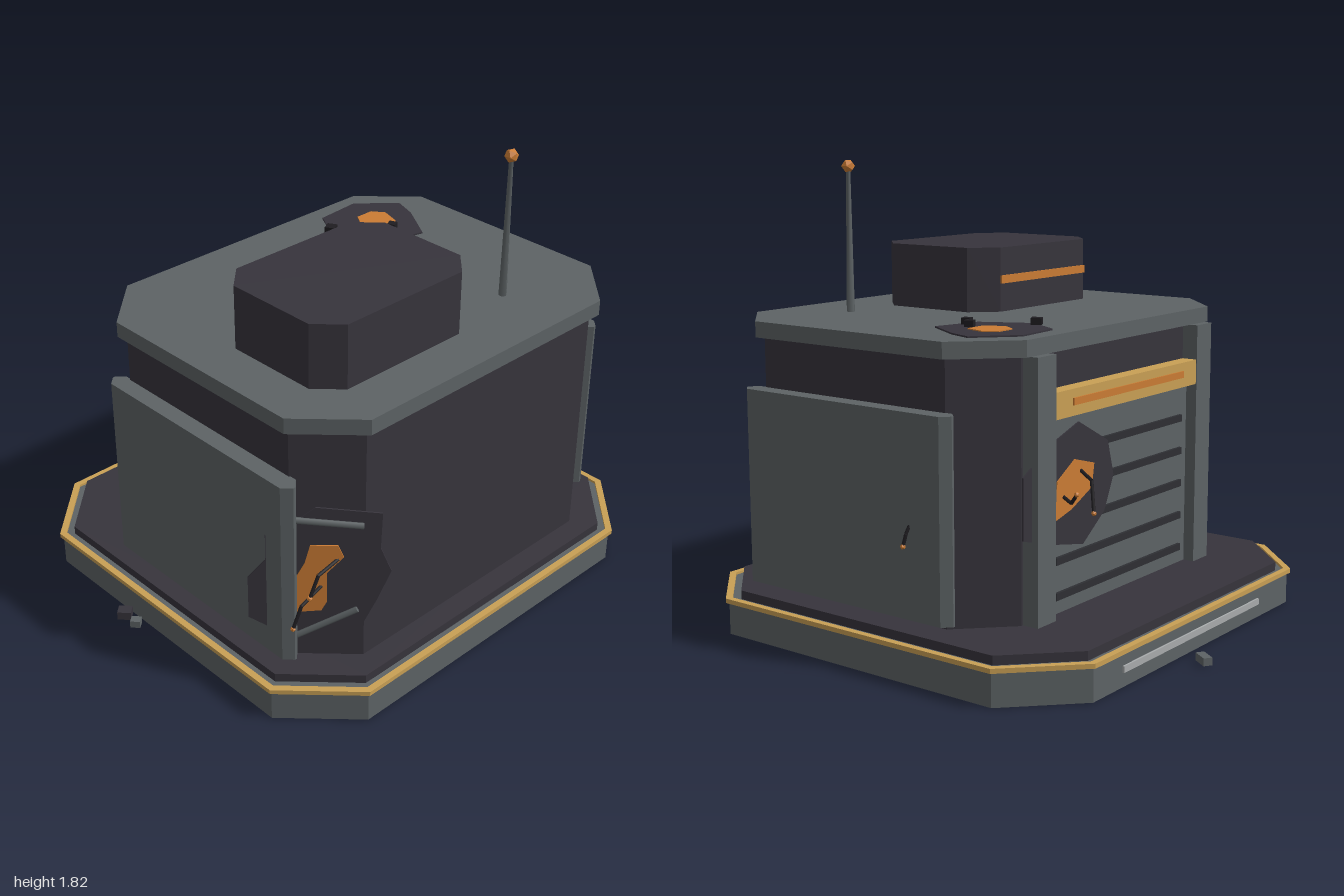
import * as THREE from 'three';

const paint = (name, color, side = THREE.FrontSide) => {
  const m = new THREE.MeshStandardMaterial({ color, side });
  m.name = name;
  return m;
};

export function createModel() {
  const steel = paint('steel grey', 0x5d6365);
  const dark = paint('charcoal', 0x37343c);
  const gold = paint('gold trim', 0xc9a055);
  const orange = paint('glowing orange', 0xcb7c34);
  const pale = paint('pale strip', 0xa9acad);
  const black = paint('wire black', 0x1f1d21);
  const slatGrey = paint('slat grey', 0x2e2f33);

  const model = new THREE.Group();
  model.name = 'bunker';

  const add = (parent, name, geo, mat, x = 0, y = 0, z = 0) => {
    const mesh = new THREE.Mesh(geo, mat);
    mesh.name = name;
    mesh.position.set(x, y, z);
    parent.add(mesh);
    return mesh;
  };
  const box = (name, mat, x0, x1, y0, y1, z0, z1) =>
    add(model, name, new THREE.BoxGeometry(x1 - x0, y1 - y0, z1 - z0), mat,
      (x0 + x1) / 2, (y0 + y1) / 2, (z0 + z1) / 2);

  // Plan outline with cut corners; shape y is -z
  const outline = (x0, x1, z0, z1, c) => [
    [x0 + c, -z1], [x1 - c, -z1], [x1, -z1 + c], [x1, -z0 - c],
    [x1 - c, -z0], [x0 + c, -z0], [x0, -z0 - c], [x0, -z1 + c],
  ].map(([x, y]) => new THREE.Vector2(x, y));
  const prism = (name, mat, [x0, x1], [y0, y1], [z0, z1], c, rim = 0) => {
    const shape = new THREE.Shape(outline(x0, x1, z0, z1, c));
    if (rim) shape.holes.push(new THREE.Path(outline(x0 + rim, x1 - rim, z0 + rim, z1 - rim, c - rim * 0.58)));
    const geo = new THREE.ExtrudeGeometry(shape, { depth: y1 - y0, bevelEnabled: false });
    geo.rotateX(-Math.PI / 2);
    return add(model, name, geo, mat, 0, y0, 0);
  };

  // Stepped base with gold rim
  prism('base', steel, [-0.93, 0.98], [0, 0.135], [-0.83, 0.96], 0.25);
  prism('baseRim', gold, [-0.943, 0.993], [0.127, 0.145], [-0.843, 0.973], 0.257, 0.026);
  prism('deck', dark, [-0.89, 0.94], [0.135, 0.17], [-0.79, 0.92], 0.235);
  box('baseStrip', pale, -0.43, 0.55, 0.055, 0.08, -0.838, -0.829);

  // Main block, roof and roof housing
  prism('body', dark, [-0.77, 0.82], [0.17, 1.155], [-0.445, 0.83], 0.19);
  prism('roof', steel, [-0.803, 0.853], [1.155, 1.217], [-0.48, 0.865], 0.21);
  prism('roofHousing', dark, [-0.61, 0.153], [1.217, 1.473], [0.09, 0.668], 0.095);
  box('housingStrip', orange, -0.515, 0.058, 1.33, 1.362, 0.082, 0.091);

  // Side armour panels
  prism('rightPanel', steel, [-0.84, -0.765], [0.2, 0.96], [-0.315, 0.705], 0.033);
  prism('leftPanel', steel, [0.815, 0.89], [0.2, 0.96], [-0.315, 0.705], 0.033);

  // Rear shutter between posts
  box('rightPost', steel, -0.57, -0.46, 0.17, 1.155, -0.512, -0.43);
  box('leftPost', steel, 0.51, 0.62, 0.17, 1.155, -0.512, -0.43);
  box('shutter', steel, -0.46, 0.51, 0.17, 0.93, -0.465, -0.43);
  for (let i = 0; i < 5; i++) {
    const y = 0.225 + i * 0.135;
    box('shutterSlat', slatGrey, -0.41, 0.46, y, y + 0.028, -0.478, -0.46);
  }
  box('lintel', gold, -0.46, 0.51, 0.915, 1.015, -0.509, -0.43);
  box('lintelLight', orange, -0.355, 0.405, 0.955, 0.982, -0.516, -0.508);

  // Antenna
  const rod = add(model, 'antennaRod', new THREE.CylinderGeometry(0.009, 0.017, 0.56, 6), steel, 0.41, 1.495, 0.575);
  rod.geometry.computeVertexNormals();
  const tip = new THREE.IcosahedronGeometry(0.028, 0);
  add(model, 'antennaTip', tip, orange, 0.41, 1.793, 0.575);

  // Damage: thin ragged plates and bent wires
  const patch = (parent, name, mat, points, z) => {
    const shape = new THREE.Shape(points.map(([x, y]) => new THREE.Vector2(x, y)));
    return add(parent, name, new THREE.ExtrudeGeometry(shape, { depth: 0.006, bevelEnabled: false }), mat, 0, 0, z);
  };
  const segment = (parent, name, mat, a, b, r) => {
    const d = b.clone().sub(a);
    const mesh = add(parent, name, new THREE.CylinderGeometry(r, r, d.length(), 5), mat);
    mesh.position.copy(a).addScaledVector(d, 0.5);
    mesh.quaternion.setFromUnitVectors(new THREE.Vector3(0, 1, 0), d.normalize());
  };
  const wire = (parent, points) => {
    const p = points.map((q) => new THREE.Vector3(...q));
    for (let i = 1; i < p.length; i++) segment(parent, 'wire', black, p[i - 1], p[i], 0.007);
    add(parent, 'wireTip', new THREE.IcosahedronGeometry(0.011, 0), orange, ...points[points.length - 1]);
  };
  const damage = (name, x, y, z, rx, ry) => {
    const g = new THREE.Group();
    g.name = name;
    g.position.set(x, y, z);
    g.rotation.set(rx, ry, 0);
    model.add(g);
    return g;
  };

  // Roof scorch, local y is -z
  const roofHole = damage('roofDamage', 0, 1.217, 0, -Math.PI / 2, 0);
  patch(roofHole, 'roofScorch', dark, [[0.295, 0.25], [0.39, 0.06], [0.585, 0.013], [0.69, 0.18],
    [0.725, 0.28], [0.58, 0.415], [0.38, 0.4]], 0);
  patch(roofHole, 'roofEmber', orange, [[0.45, 0.24], [0.484, 0.16], [0.58, 0.163], [0.607, 0.25],
    [0.57, 0.3], [0.49, 0.3]], 0.004);

  // Breach on the front right corner
  const corner = damage('cornerDamage', -0.683, 0, 0.743, 0, -Math.PI / 4);
  patch(corner, 'cornerScorch', dark, [[-0.285, 0.35], [-0.2, 0.3], [-0.1, 0.235], [0.1, 0.26], [0.18, 0.44],
    [0.23, 0.57], [0.19, 0.67], [0.195, 0.82], [-0.04, 0.84], [-0.1, 0.79], [-0.22, 0.72], [-0.22, 0.61], [-0.285, 0.53]], -0.002);
  patch(corner, 'cornerEmber', orange, [[-0.12, 0.38], [-0.02, 0.39], [0, 0.43], [0, 0.56], [0.06, 0.63],
    [0.04, 0.68], [-0.06, 0.68], [-0.08, 0.6], [-0.13, 0.5]], 0.003);
  const v = (x, y, z) => new THREE.Vector3(x, y, z);
  segment(corner, 'bentBeam', steel, v(-0.11, 0.79, 0.01), v(0.13, 0.77, 0.01), 0.013);
  segment(corner, 'bentBeam', steel, v(-0.12, 0.27, 0.01), v(0.11, 0.4, 0.01), 0.013);
  wire(corner, [[0.04, 0.62, 0.005], [-0.03, 0.58, 0.05], [-0.06, 0.5, 0.08]]);
  wire(corner, [[-0.02, 0.5, 0.005], [-0.09, 0.45, 0.06], [-0.12, 0.36, 0.08]]);

  // Breach in the rear shutter, local x is -x
  const rear = damage('rearDamage', 0, 0, -0.479, 0, Math.PI);
  patch(rear, 'rearScorch', dark, [[-0.67, 0.5], [-0.5, 0.45], [-0.3, 0.41], [-0.16, 0.51], [-0.1, 0.64],
    [-0.14, 0.78], [-0.33, 0.88], [-0.51, 0.82], [-0.67, 0.73]], 0);
  patch(rear, 'rearEmber', orange, [[-0.5, 0.53], [-0.38, 0.56], [-0.25, 0.62], [-0.235, 0.71], [-0.36, 0.745],
    [-0.47, 0.68]], 0.004);
  wire(rear, [[-0.32, 0.7, 0], [-0.34, 0.67, 0.07], [-0.35, 0.55, 0.088]]);
  wire(rear, [[-0.43, 0.62, 0], [-0.44, 0.6, 0.05], [-0.455, 0.64, 0.085]]);

  // Loose wire on the left panel
  wire(model, [[0.885, 0.55, -0.14], [0.9, 0.52, -0.135], [0.908, 0.475, -0.127]]);

  // Rubble on the roof and around the base: position, size, turn, material
  [
    ['roofRubble', 0.315, 1.235, -0.28, 0.042, 0.026, 0.042, 0.5, black],
    ['roofRubble', 0.52, 1.235, -0.125, 0.035, 0.026, 0.035, 0.4, black],
    ['roofRubble', 0.468, 1.235, -0.07, 0.035, 0.026, 0.035, 0.3, black],
    ['rubble', 0.165, 0.018, -0.935, 0.035, 0.03, 0.07, -0.6, steel],
    ['rubble', -0.97, 0.02, -0.12, 0.045, 0.035, 0.055, 0.75, dark],
    ['rubble', -0.972, 0.018, -0.047, 0.035, 0.03, 0.04, 0.7, steel],
  ].forEach(([name, x, y, z, w, h, d, turn, mat]) => {
    add(model, name, new THREE.BoxGeometry(w, h, d), mat, x, y, z).rotation.y = turn;
  });

  return model;
}
